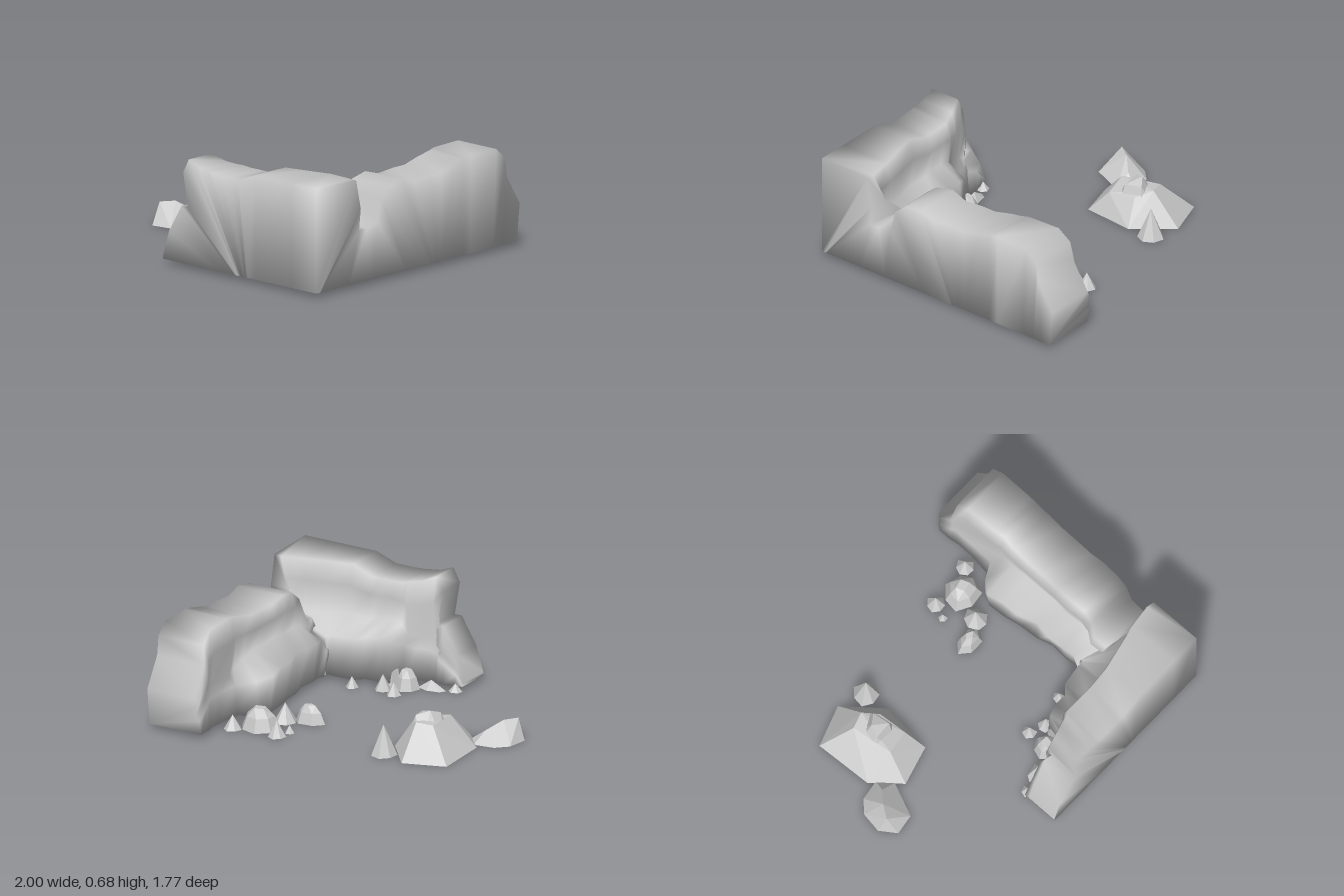
import * as THREE from 'three';
import { ConvexGeometry } from 'three/addons/geometries/ConvexGeometry.js';

const stone = new THREE.MeshStandardMaterial({ color: 0xcccccc });
const flatStone = new THREE.MeshStandardMaterial({ color: 0xcccccc, flatShading: true, side: THREE.DoubleSide });
const FLOOR = 0.03;

// One cross-section of the cliff, from plan points [x, z] of each part:
// outer base, outer top, inner top, ledge rim, inner base
function section(outerBase, outerTop, h, top, ledgeH, rim, base) {
  const ly = Math.min(ledgeH, FLOOR + (h - FLOOR) * 0.65);
  const dx = rim[0] - top[0], dz = rim[1] - top[1];
  const len = Math.hypot(dx, dz) || 1;
  const out = (d) => [top[0] + (dx / len) * d, top[1] + (dz / len) * d];
  return [
    [outerBase, FLOOR], [outerTop, h], [top, h],
    [out(0.03), ly + (h - ly) * 0.6],        // overhanging brow
    [out(0.01), ly],                         // back of the ledge
    [rim, ly * 0.8], [base, FLOOR],
  ].map(([[x, z], y]) => [x, y, z]);
}

// Section of a straight arm: along at top, along at inner base, along at outer base,
// height, inner top, ledge height, rim, inner base
function armSection([s, sIn, sOut, h, top, ledgeH, rim, base], outer, plan) {
  return section(plan(sOut, outer), plan(s, outer), h, plan(s, top), ledgeH,
    plan((s + sIn) / 2, rim), plan(sIn, base));
}

function loft(name, sections) {
  const n = sections[0].length, idx = [];
  for (let i = 0; i < sections.length - 1; i++) {
    for (let j = 0; j < n; j++) {
      const a = i * n + j, d = i * n + (j + 1) % n;
      idx.push(a, a + n, d + n, a, d + n, d);
    }
  }
  const e = (sections.length - 1) * n;
  for (let j = 1; j < n - 1; j++) idx.push(0, j, j + 1, e, e + j + 1, e + j);
  const g = new THREE.BufferGeometry();
  g.setAttribute('position', new THREE.Float32BufferAttribute(sections.flat(2), 3));
  g.setIndex(idx);
  g.computeVertexNormals();
  const m = new THREE.Mesh(g, stone);
  m.name = name;
  return m;
}

// Faceted rock, open below: hull of a ground outline [x, z] and upper points [x, y, z]
function rock(name, outline, upper) {
  const pts = outline.map(([x, z]) => new THREE.Vector3(x, 0, z));
  upper.forEach((p) => pts.push(new THREE.Vector3(...p)));
  const g = new ConvexGeometry(pts);
  const p = g.attributes.position, kept = [];
  for (let i = 0; i < p.count; i += 3) {
    if (p.getY(i) + p.getY(i + 1) + p.getY(i + 2) > 1e-5) kept.push(i, i + 1, i + 2);
  }
  g.setIndex(kept);
  const m = new THREE.Mesh(g, flatStone);
  m.name = name;
  return m;
}

// Ring of points around (x, z), slightly uneven
function ring(x, z, rx, rz, sides, phase) {
  return Array.from({ length: sides }, (_, i) => {
    const a = (i / sides) * Math.PI * 2 + phase;
    const k = 0.94 + 0.06 * Math.sin(i * 2.7 + phase * 3);
    return [x + Math.cos(a) * rx * k, z + Math.sin(a) * rz * k];
  });
}

export function createModel() {
  const model = new THREE.Group();

  // Front arm of the cliff, running along x
  const front = [
    [-0.25, -0.25, -0.25, 0.05, 0.68, 0.04, 0.65, 0.65],
    [-0.20, -0.20, 0.20, 0.21, 0.68, 0.12, 0.65, 0.64],
    [-0.10, -0.13, 0.33, 0.38, 0.67, 0.20, 0.64, 0.62],
    [-0.05, -0.09, 0.35, 0.38, 0.68, 0.22, 0.65, 0.63],
    [-0.085, -0.07, 0.36, 0.59, 0.69, 0.25, 0.65, 0.63],
    [-0.04, -0.03, 0.37, 0.675, 0.69, 0.28, 0.64, 0.62],
    [0.05, 0.05, 0.38, 0.64, 0.66, 0.28, 0.62, 0.60],
    [0.12, 0.12, 0.39, 0.63, 0.64, 0.30, 0.59, 0.57],
    [0.15, 0.15, 0.40, 0.625, 0.62, 0.36, 0.48, 0.47],
    [0.22, 0.22, 0.41, 0.62, 0.62, 0.38, 0.46, 0.46],
    [0.31, 0.31, 0.42, 0.62, 0.62, 0.37, 0.46, 0.46],
    [0.36, 0.36, 0.44, 0.62, 0.62, 0.36, 0.41, 0.41],
    [0.50, 0.50, 0.50, 0.67, 0.62, 0.36, 0.39, 0.40],
  ].map((s) => armSection(s, 0.885, (along, across) => [along, across]));

  // Corner: the high front ridge drops into a notch
  const corner = [
    section([0.8, 0.885], [0.8, 0.885], 0.67, [0.66, 0.585], 0.35, [0.53, 0.39], [0.54, 0.41]),
    section([1, 0.885], [1, 0.885], 0.67, [0.80, 0.55], 0.35, [0.54, 0.38], [0.55, 0.40]),
    section([1, 0.86], [1, 0.54], 0.66, [0.95, 0.53], 0.35, [0.54, 0.375], [0.55, 0.395]),
    section([1, 0.85], [1, 0.50], 0.48, [0.88, 0.50], 0.34, [0.535, 0.37], [0.55, 0.39]),
    section([1, 0.60], [1, 0.515], 0.35, [0.74, 0.47], 0.33, [0.53, 0.365], [0.55, 0.385]),
  ];

  // Side arm, running towards the back
  const side = [
    [0.45, 0.38, 0.40, 0.35, 0.68, 0.32, 0.53, 0.55],
    [0.36, 0.36, 0.10, 0.37, 0.67, 0.32, 0.52, 0.54],
    [0.32, 0.32, -0.05, 0.51, 0.69, 0.34, 0.53, 0.56],
    [0.25, 0.25, -0.10, 0.57, 0.70, 0.35, 0.52, 0.55],
    [0.13, 0.13, -0.12, 0.59, 0.69, 0.35, 0.51, 0.56],
    [0.03, 0.03, -0.14, 0.56, 0.70, 0.36, 0.53, 0.53],
    [-0.10, -0.10, -0.16, 0.57, 0.70, 0.35, 0.49, 0.52],
    [-0.20, -0.20, -0.20, 0.57, 0.70, 0.35, 0.49, 0.50],
    [-0.32, -0.32, -0.32, 0.60, 0.70, 0.33, 0.47, 0.49],
    [-0.40, -0.40, -0.40, 0.62, 0.71, 0.30, 0.54, 0.53],
    [-0.46, -0.46, -0.46, 0.63, 0.70, 0.27, 0.65, 0.63],
    [-0.68, -0.62, -0.66, 0.63, 0.69, 0.28, 0.65, 0.65],
    [-0.76, -0.72, -0.74, 0.56, 0.68, 0.28, 0.65, 0.65],
    [-0.775, -0.78, -0.80, 0.44, 0.67, 0.24, 0.645, 0.64],
    [-0.885, -0.86, -0.86, 0.26, 0.67, 0.15, 0.64, 0.64],
  ].map((s) => armSection(s, 1, (along, across) => [across, along]));

  model.add(loft('cliff', [...front, ...corner, ...side]));

  // Large boulder with a broad crown, and a wedge slab beside it
  model.add(rock('boulder',
    [[-0.84, -0.47], [-0.58, -0.56], [-0.39, -0.33], [-0.42, 0], [-0.67, 0.07], [-0.82, -0.1]],
    [[-0.67, 0.19, -0.35], [-0.57, 0.2, -0.38], [-0.49, 0.16, -0.3], [-0.47, 0.14, -0.12],
      [-0.63, 0.17, -0.09]]));
  model.add(rock('boulderCrown',
    ring(-0.59, -0.25, 0.17, 0.19, 6, 0.3),
    [[-0.6, 0.245, -0.27], [-0.53, 0.22, -0.32], [-0.51, 0.21, -0.21], [-0.63, 0.22, -0.2]]));
  model.add(rock('slab',
    [[-1, 0.15], [-0.98, 0.02], [-0.91, -0.05], [-0.78, -0.07], [-0.71, 0.02], [-0.8, 0.23], [-0.93, 0.25]],
    [[-0.945, 0.13, 0.17], [-0.89, 0.13, 0.09], [-0.81, 0.07, 0.01]]));

  // Pointed stones: [x, z, rx, rz, height, sides]
  [
    [-0.41, -0.49, 0.085, 0.085, 0.19, 7],
    [0.29, -0.57, 0.06, 0.06, 0.10, 7],
    [0.255, -0.48, 0.032, 0.03, 0.05, 6],
    [0.58, -0.6, 0.06, 0.06, 0.09, 7],
    [0.38, -0.33, 0.075, 0.08, 0.12, 7],
    [0.07, 0.39, 0.048, 0.048, 0.08, 6],
    [0.17, 0.43, 0.055, 0.05, 0.10, 7],
    [-0.21, 0.635, 0.045, 0.04, 0.05, 6],
    [-0.07, 0.59, 0.1, 0.04, 0.06, 6],
    [0.35, 0.37, 0.04, 0.04, 0.07, 6],
  ].forEach(([x, z, rx, rz, h, n], i) => {
    model.add(rock('pointedStone' + (i + 1), ring(x, z, rx, rz, n, i), [[x, h, z]]));
  });

  // Blunt stones with a small flattened crown
  [
    [0.45, -0.5, 0.13, 0.115, 0.13, 7],
    [0.25, -0.26, 0.105, 0.07, 0.11, 6],
    [0.065, 0.53, 0.085, 0.08, 0.12, 7],
    [0.17, 0.53, 0.06, 0.08, 0.16, 6],
  ].forEach(([x, z, rx, rz, h, n], i) => {
    const shoulder = ring(x, z, rx * 0.72, rz * 0.72, n, i).map((p) => [p[0], h * 0.62, p[1]]);
    const crown = ring(x, z, rx * 0.35, rz * 0.35, 4, i + 0.5).map((p) => [p[0], h, p[1]]);
    model.add(rock('bluntStone' + (i + 1), ring(x, z, rx, rz, n, i), [...shoulder, ...crown]));
  });

  return model;
}
